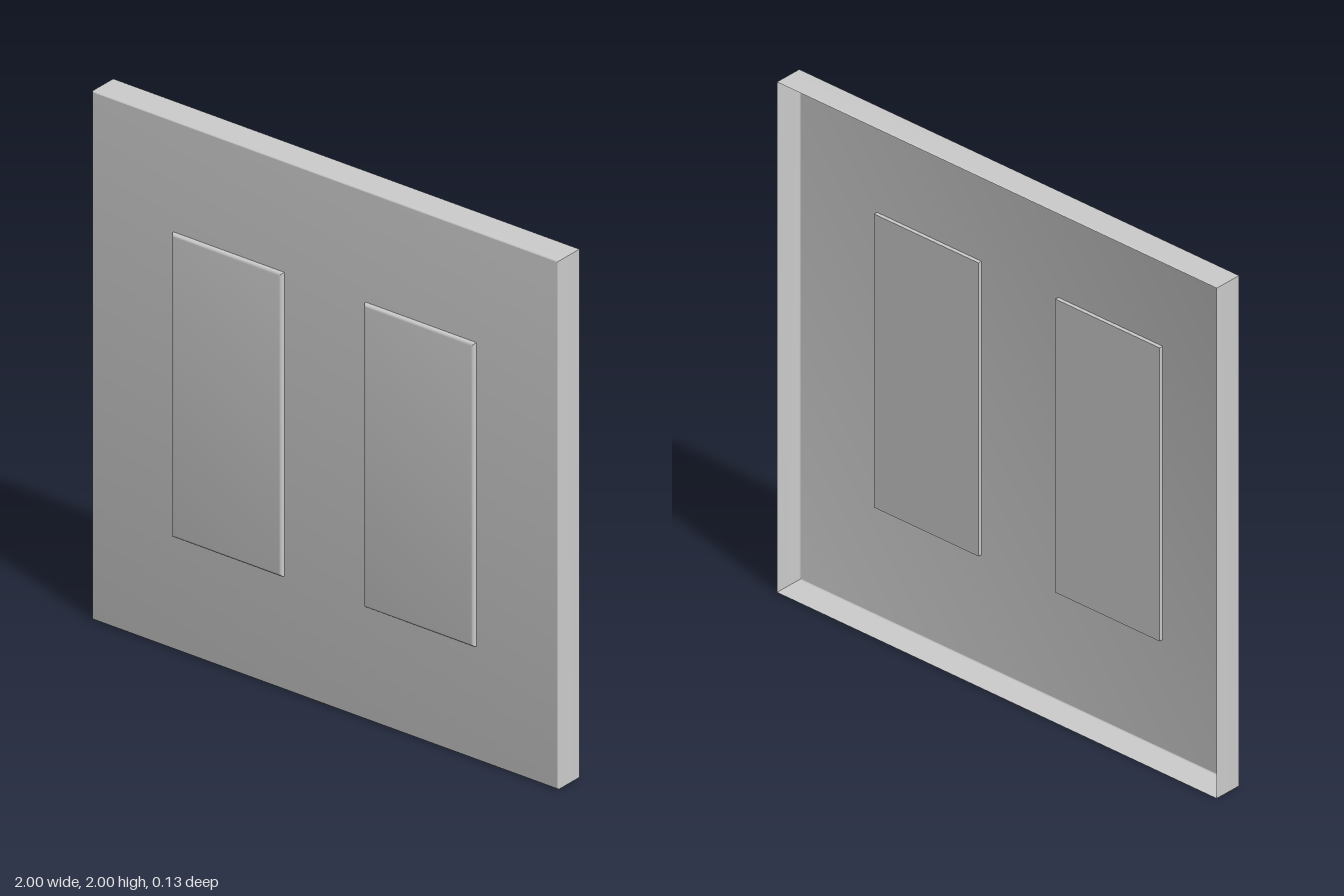
import * as THREE from 'three';
import { toCreasedNormals } from 'three/addons/utils/BufferGeometryUtils.js';

// Rectangular block from zBack to zFront whose front edge is rounded by radius r
function roundedFrontBlock(width, height, zBack, zFront, r, closedBack) {
  const sections = [[0, zBack]]; // [inset, z]
  const steps = 4;
  for (let i = 0; i <= steps; i++) {
    const a = (i / steps) * Math.PI / 2;
    sections.push([r * (1 - Math.cos(a)), zFront - r * (1 - Math.sin(a))]);
  }
  const points = [];
  for (const [inset, z] of sections) {
    const x = width / 2 - inset, y = height / 2 - inset;
    points.push(-x, -y, z, x, -y, z, x, y, z, -x, y, z);
  }
  const index = [];
  for (let i = 0; i < sections.length - 1; i++) {
    for (let j = 0; j < 4; j++) {
      const a = i * 4 + j, b = i * 4 + (j + 1) % 4;
      index.push(a, b, b + 4, a, b + 4, a + 4);
    }
  }
  const f = (sections.length - 1) * 4;
  index.push(f, f + 1, f + 2, f, f + 2, f + 3);
  if (closedBack) index.push(0, 2, 1, 0, 3, 2);
  const geometry = new THREE.BufferGeometry();
  geometry.setAttribute('position', new THREE.Float32BufferAttribute(points, 3));
  geometry.setIndex(index);
  return toCreasedNormals(geometry, 0.6);
}

export function createModel() {
  const group = new THREE.Group();
  group.name = 'doubleSwitchPlate';
  const shell = new THREE.MeshStandardMaterial({ color: 0xcccccc, side: THREE.DoubleSide });
  const solid = new THREE.MeshStandardMaterial({ color: 0xcccccc });

  // Thin cover plate, open at the back
  const plate = new THREE.Mesh(roundedFrontBlock(2, 2, -0.065, 0.05, 0.005, false), shell);
  plate.name = 'coverPlate';
  plate.position.y = 1;
  group.add(plate);

  // Two rocker paddles passing through the plate
  for (const side of [-1, 1]) {
    const rocker = new THREE.Mesh(roundedFrontBlock(0.475, 1.15, 0.035, 0.065, 0.012, true), solid);
    rocker.name = side > 0 ? 'leftRocker' : 'rightRocker';
    rocker.position.set(side * 0.412, 1.005, 0);
    group.add(rocker);
  }
  return group;
}
